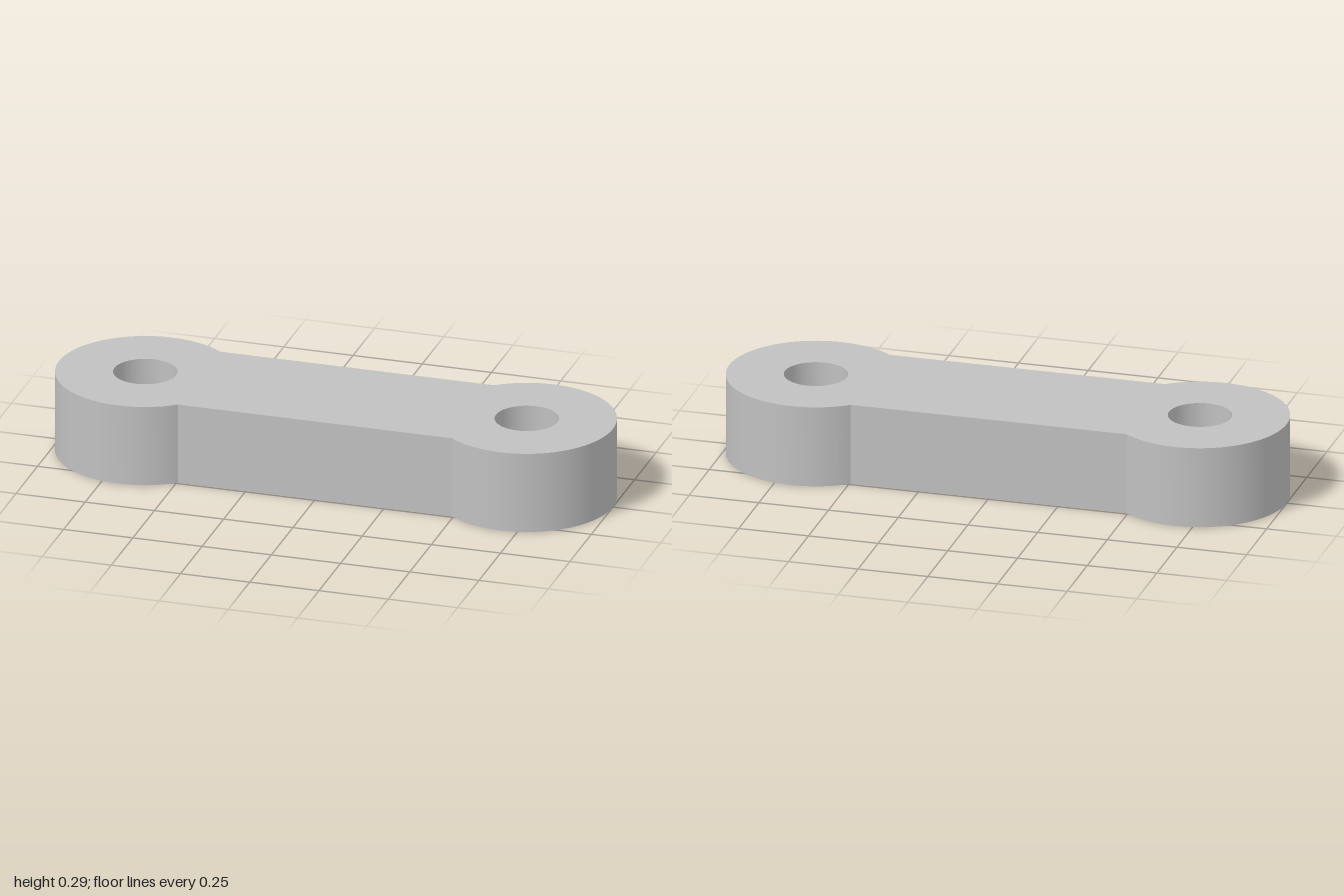
import * as THREE from 'three';
import { toCreasedNormals } from 'three/addons/utils/BufferGeometryUtils.js';

const HEIGHT = 0.293;
const END_RADIUS = 0.311;
const END_X = 1 - END_RADIUS;
const BAR_HALF_WIDTH = 0.243;
const HOLE_RADIUS = 0.111;

export function createModel() {
  const group = new THREE.Group();
  group.name = 'linkArm';

  const grey = new THREE.MeshStandardMaterial({ color: 0xc0c0c0 });
  grey.name = 'plain grey';

  // Outline: two round ends joined by a narrower straight bar
  const sweep = Math.PI - Math.asin(BAR_HALF_WIDTH / END_RADIUS);
  const outline = new THREE.Shape();
  outline.absarc(END_X, 0, END_RADIUS, -sweep, sweep, false);
  outline.absarc(-END_X, 0, END_RADIUS, Math.PI - sweep, Math.PI + sweep, false);

  // Pin hole through each end
  for (const side of [-1, 1]) {
    const hole = new THREE.Path();
    hole.absarc(side * END_X, 0, HOLE_RADIUS, 0, Math.PI * 2, true);
    outline.holes.push(hole);
  }

  // Extrude upwards, keeping the rims and bar joints sharp
  const solid = new THREE.ExtrudeGeometry(outline, { depth: HEIGHT, bevelEnabled: false, curveSegments: 64 });
  solid.rotateX(-Math.PI / 2);

  const link = new THREE.Mesh(toCreasedNormals(solid, 0.4), grey);
  link.name = 'linkBody';
  group.add(link);
  return group;
}
